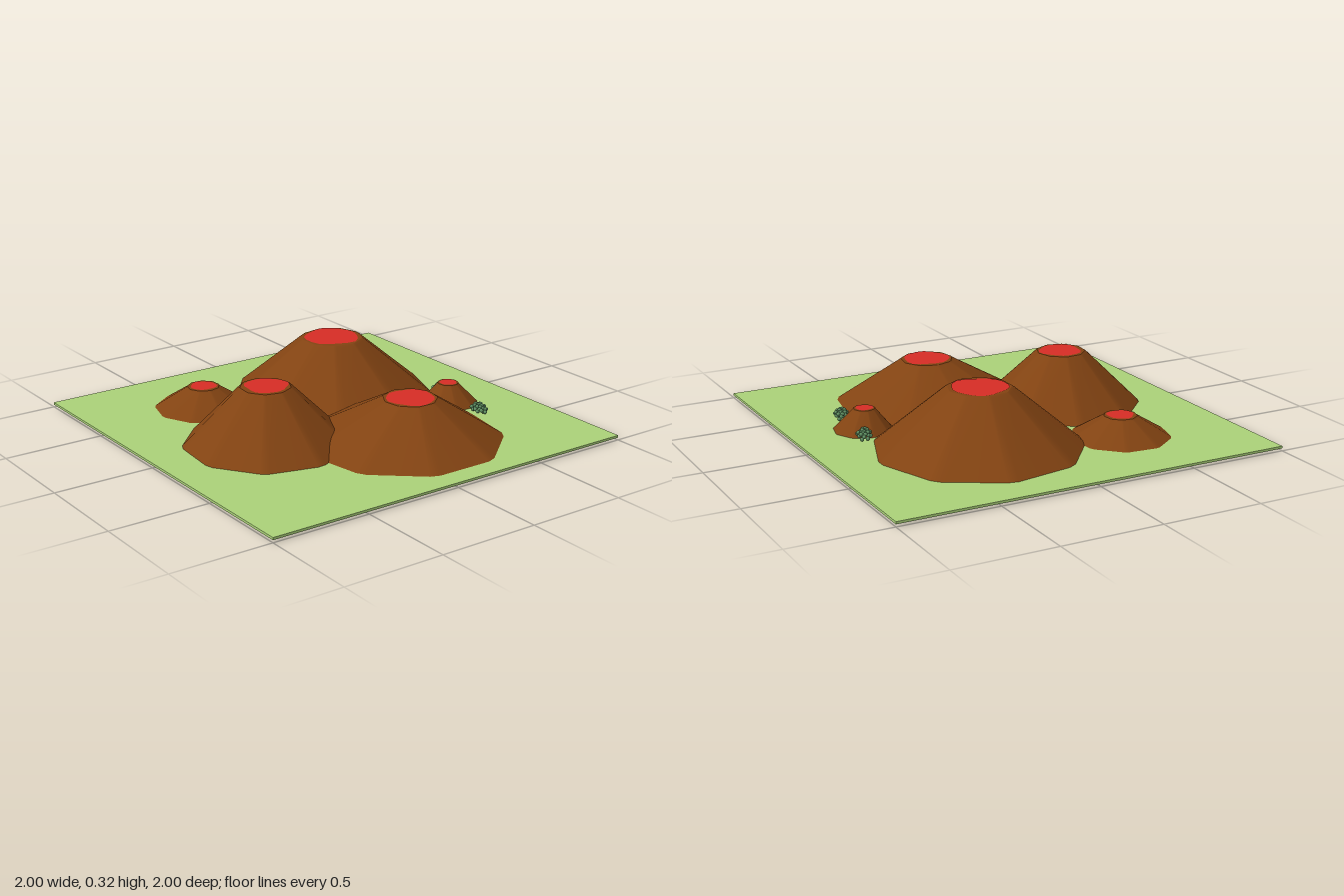
import * as THREE from 'three';

const grass = new THREE.MeshStandardMaterial({ color: 0xaad178 });
grass.name = 'grass green';
const earth = new THREE.MeshStandardMaterial({ color: 0x824312 });
earth.name = 'earth brown';
const lava = new THREE.MeshStandardMaterial({ color: 0xd62d25 });
lava.name = 'lava red';
const leaf = new THREE.MeshStandardMaterial({ color: 0x5f8f62 });
leaf.name = 'leaf green';

const SIDES = 9;

// Nine-sided cone stump with softened ridges; [x, z] centres for base and rim
function moundGeometry(base, baseR, baseY, rim, rimR, rimY, phase) {
  const rings = [
    [base, baseR, baseY],
    [[rim[0], rim[1]], rimR * 1.04, rimY - 0.008],
    [rim, rimR * 0.96, rimY],
  ];
  const pos = [], index = [], n = SIDES * 2;
  for (const [c, r, y] of rings) {
    for (let i = 0; i < SIDES; i++) {
      for (const split of [-3, 3]) {
        const a = THREE.MathUtils.degToRad(phase + i * 360 / SIDES + split);
        pos.push(c[0] + r * Math.cos(a), y, c[1] - r * Math.sin(a));
      }
    }
  }
  for (let k = 0; k < rings.length - 1; k++) {
    for (let i = 0; i < n; i++) {
      const a = k * n + i, b = k * n + (i + 1) % n;
      index.push(a, b, b + n, a, b + n, a + n);
    }
  }
  // Separate corners for the flat top and underside keep those edges sharp
  for (const [ring, up] of [[2, true], [0, false]]) {
    const start = pos.length / 3;
    for (let i = 0; i < n; i++) {
      const j = (ring * n + i) * 3;
      pos.push(pos[j], pos[j + 1], pos[j + 2]);
    }
    for (let i = 1; i < n - 1; i++) {
      if (up) index.push(start, start + i, start + i + 1);
      else index.push(start, start + i + 1, start + i);
    }
  }
  const g = new THREE.BufferGeometry();
  g.setAttribute('position', new THREE.Float32BufferAttribute(pos, 3));
  g.setIndex(index);
  g.computeVertexNormals();
  return g;
}

// Slightly uneven lava pool lying on the flat top
function lavaGeometry(r, seed) {
  const shape = new THREE.Shape();
  for (let i = 0; i < 18; i++) {
    const a = i / 18 * Math.PI * 2;
    const k = r * (1 + 0.05 * Math.sin(3 * a + seed) + 0.04 * Math.sin(5 * a + seed * 2));
    if (i) shape.lineTo(k * Math.cos(a), k * Math.sin(a));
    else shape.moveTo(k * Math.cos(a), k * Math.sin(a));
  }
  return new THREE.ShapeGeometry(shape).rotateX(-Math.PI / 2);
}

// Low shrub made of many tiny leaf balls
function shrub(name, x, z) {
  const group = new THREE.Group();
  group.name = name;
  const ball = new THREE.IcosahedronGeometry(0.01, 1);
  for (let i = 0; i < 36; i++) {
    const a = i * 2.4, r = Math.sqrt((i + 0.5) / 36);
    const m = new THREE.Mesh(ball, leaf);
    m.name = 'leafBall';
    m.position.set(
      x + 0.055 * r * Math.cos(a),
      0.034 + 0.022 * (1 - r * r) + 0.012 * (i % 3) / 2,
      z + 0.034 * r * Math.sin(a) + 0.01 * Math.cos(a));
    group.add(m);
  }
  return group;
}

export function createModel() {
  const model = new THREE.Group();
  model.name = 'volcanoField';

  // Ground plate
  const ground = new THREE.Mesh(new THREE.BoxGeometry(2, 0.012, 2), grass);
  ground.name = 'ground';
  ground.position.y = 0.018;
  model.add(ground);

  // Volcanoes: base centre, base radius, base height, rim centre, rim radius, rim height, phase, lava centre, lava radius
  const volcanoes = [
    ['largeVolcano', [-0.33, -0.26], 0.535, 0, [-0.325, -0.255], 0.16, 0.315, 10, [-0.33, -0.255], 0.137],
    ['leftVolcano', [0.42, -0.13], 0.505, 0.016, [0.455, -0.15], 0.137, 0.236, 20, [0.46, -0.15], 0.116],
    ['frontVolcano', [0.085, 0.42], 0.412, 0.016, [0.07, 0.415], 0.127, 0.3, 5, [0.07, 0.41], 0.104],
    ['smallVolcano', [-0.51, 0.41], 0.256, 0.016, [-0.515, 0.405], 0.084, 0.13, 35, [-0.515, 0.405], 0.065],
    ['tinyVolcano', [0.16, -0.64], 0.152, 0.016, [0.16, -0.63], 0.055, 0.13, 17, [0.16, -0.63], 0.043],
  ];
  volcanoes.forEach(([name, base, baseR, baseY, rim, rimR, rimY, phase, pool, poolR], i) => {
    const group = new THREE.Group();
    group.name = name;
    const slope = new THREE.Mesh(moundGeometry(base, baseR, baseY, rim, rimR, rimY, phase), earth);
    slope.name = 'slope';
    const crater = new THREE.Mesh(lavaGeometry(poolR, i * 1.7), lava);
    crater.name = 'lavaPool';
    crater.position.set(pool[0], rimY + 0.002, pool[1]);
    group.add(slope, crater);
    model.add(group);
  });

  // Shrubs beside the tiny volcano
  model.add(shrub('leftShrub', 0.365, -0.665), shrub('rightShrub', 0.03, -0.69));
  return model;
}
